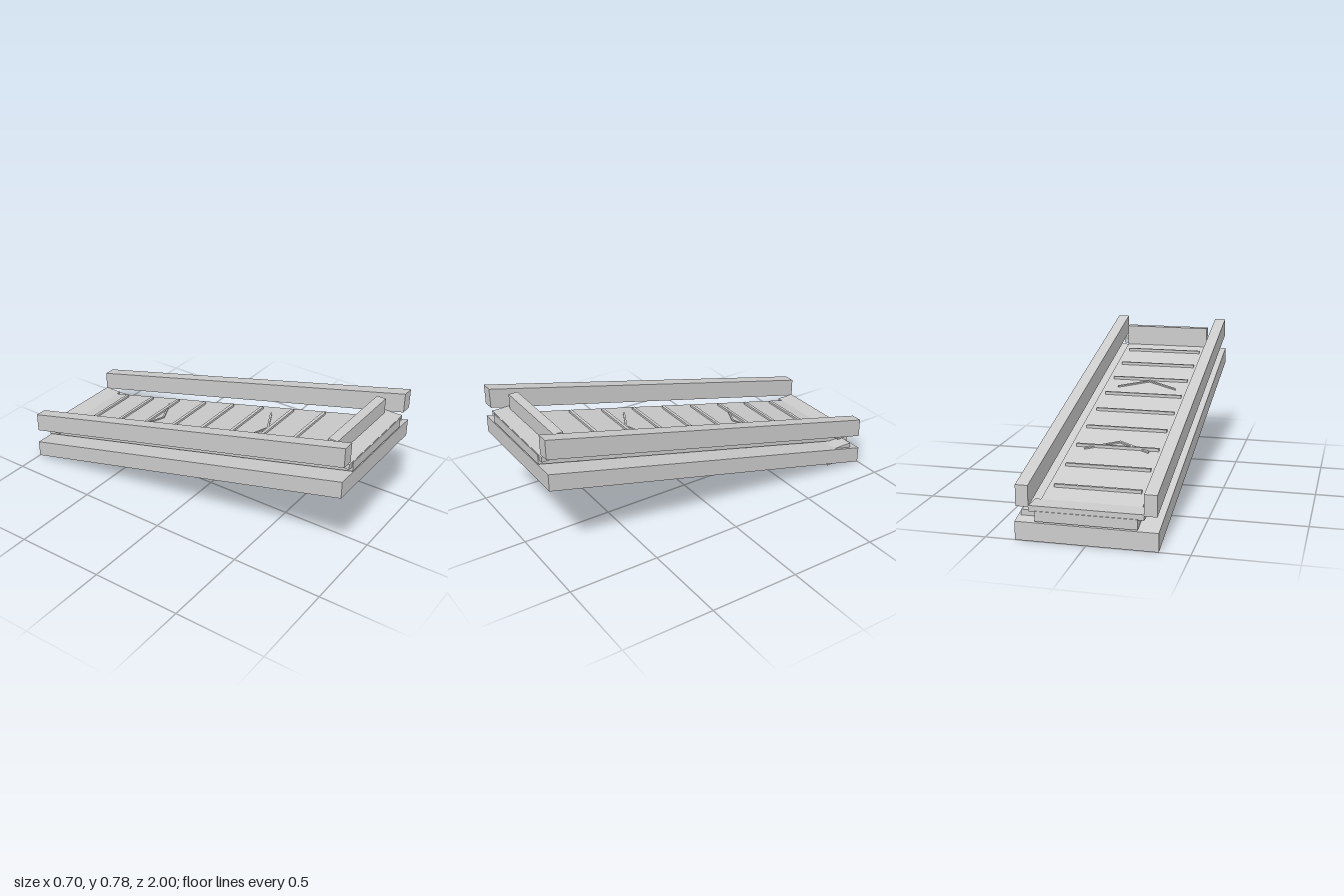
import * as THREE from 'three';

const SLOPE = 0.25;

export function createModel() {
  const group = new THREE.Group();
  const material = new THREE.MeshStandardMaterial({ color: 0xcccccc });

  // Box from its limits in x, y, z
  const block = (x0, x1, y0, y1, z0, z1) =>
    new THREE.BoxGeometry(x1 - x0, y1 - y0, z1 - z0)
      .translate((x0 + x1) / 2, (y0 + y1) / 2, (z0 + z1) / 2);

  // Raise every vertex with z so the piece follows the incline with upright ends
  const incline = (geo) => {
    const p = geo.attributes.position;
    for (let i = 0; i < p.count; i++) p.setY(i, p.getY(i) + SLOPE * p.getZ(i));
    geo.computeVertexNormals();
    return geo;
  };

  const add = (name, geo) => {
    const mesh = new THREE.Mesh(geo, material);
    mesh.name = name;
    group.add(mesh);
    return mesh;
  };

  // Sloping base and belt slab
  add('base', incline(block(-0.35, 0.35, 0.25, 0.343, -1, 1)));
  add('belt', incline(block(-0.25, 0.25, 0.35, 0.401, -1, 1)));

  // Side rails
  for (const side of [-1, 1]) {
    const rail = block(-0.0315, 0.0315, 0.42, 0.526, -1, 1).translate(side * 0.3115, 0, 0);
    add(side > 0 ? 'leftRail' : 'rightRail', incline(rail));
  }

  // Level end plates and the upright stop board at the high end
  add('upperEndPlate', block(-0.28, 0.28, 0.623, 0.652, 0.89, 0.995));
  add('lowerEndPlate', block(-0.28, 0.28, 0.148, 0.177, -0.998, -0.895));
  add('stopBoard', block(-0.25, 0.25, 0.62, 0.735, 0.86, 0.91));

  // Drive box passing through the base at the low end
  add('driveBox', block(0.24, 0.335, 0.037, 0.136, -0.945, -0.78));

  // Cleats across the top of the belt and on its return side
  for (let i = 0; i < 9; i++) {
    const z = -0.78 + i * 0.1945;
    add('cleat', block(-0.22, 0.22, 0.395, 0.415, -0.008, 0.008).translate(0, SLOPE * z, z));
    const zr = -0.867 + i * 0.2064;
    add('returnCleat', block(-0.24, 0.24, 0.338, 0.354, -0.008, 0.008).translate(0, SLOPE * zr, zr));
  }

  // Chevron direction marks lying on the belt
  const chevron = new THREE.Shape([
    [-0.17, -0.085], [0, 0], [0.17, -0.085], [0.17, -0.073], [0, 0.012], [-0.17, -0.073],
  ].map(([x, z]) => new THREE.Vector2(x, -z)));
  for (const z of [-0.338, 0.362]) {
    const geo = new THREE.ExtrudeGeometry(chevron, { depth: 0.012, bevelEnabled: false });
    geo.rotateX(-Math.PI / 2).translate(0, 0.396, z);
    add('chevron', incline(geo));
  }

  return group;
}
